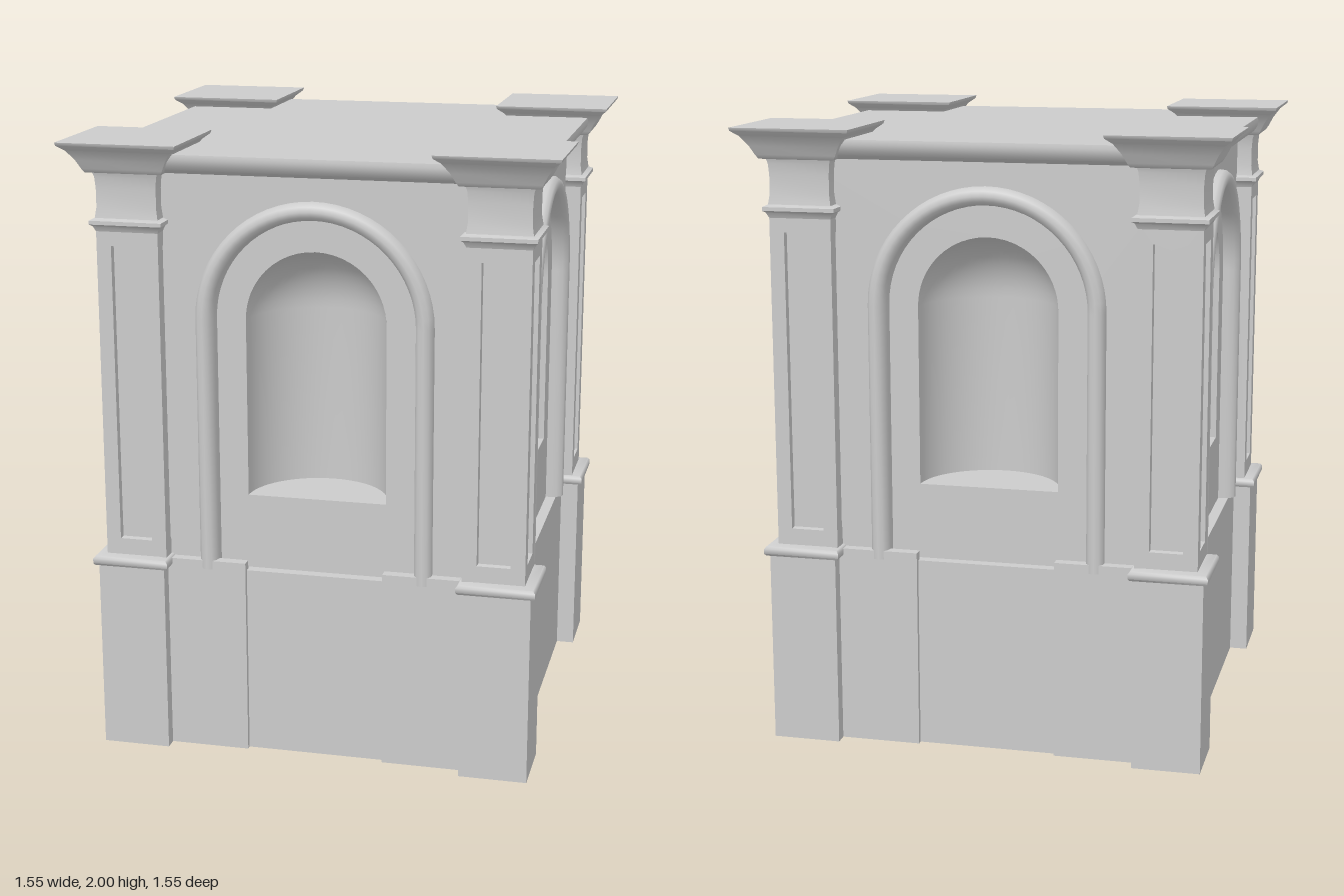
import * as THREE from 'three';
import { toCreasedNormals } from 'three/addons/utils/BufferGeometryUtils.js';

const grey = new THREE.MeshStandardMaterial({ color: 0xcccccc });
const greyThin = new THREE.MeshStandardMaterial({ color: 0xcccccc, side: THREE.DoubleSide });

const SPRING = 1.445;  // height where the arches start to curve
const LEDGE = 0.62;    // top of the base walls
const NICHE = { r: 0.225, sill: 0.865, spring: 1.44, z: 0.61 };

function part(name, geometry, material = grey) {
  const mesh = new THREE.Mesh(geometry, material);
  mesh.name = name;
  return mesh;
}

// Square turned solid: profile of [half width, y], bottom to top
function squareLathe(profile) {
  const pts = profile.map(([w, y]) => new THREE.Vector2(w * Math.SQRT2, y));
  return toCreasedNormals(new THREE.LatheGeometry(pts, 4).rotateY(Math.PI / 4), 0.9);
}

// Skin between cross-sections that all have the same number of points
function loft(rings, flat = false) {
  const n = rings[0].length, index = [];
  for (let i = 0; i < rings.length - 1; i++)
    for (let j = 0; j < n - 1; j++) {
      const a = i * n + j, b = a + n;
      index.push(a, b, a + 1, b, b + 1, a + 1);
    }
  let g = new THREE.BufferGeometry();
  g.setAttribute('position', new THREE.Float32BufferAttribute(rings.flat(2), 3));
  g.setIndex(index);
  if (flat) g = g.toNonIndexed();
  g.computeVertexNormals();
  return g;
}

// Round-headed outline, from the left foot over the top to the right foot
function archPoints(r, foot, spring = SPRING) {
  const pts = [new THREE.Vector2(-r, foot)];
  for (let i = 0; i <= 32; i++) {
    const t = Math.PI * (1 - i / 32);
    pts.push(new THREE.Vector2(r * Math.cos(t), spring + r * Math.sin(t)));
  }
  pts.push(new THREE.Vector2(r, foot));
  return pts;
}

// Sunken panel on one face of a pillar shaft, corners listed clockwise
function shaftFace() {
  const rings = [
    [0.1, 0.65, 1.735, 0.1], [0.053, 0.71, 1.67, 0.1],
    [0.051, 0.712, 1.668, 0.08], [0, 0.73, 1.65, 0.08],
  ].map(([w, y0, y1, z]) => [[-w, y0, z], [-w, y1, z], [w, y1, z], [w, y0, z], [-w, y0, z]]);
  return loft(rings, true);
}

function createPillar() {
  const pillar = new THREE.Group();
  pillar.name = 'cornerPillar';

  // Plinth and its moulding stand slightly further out than the shaft
  const foot = new THREE.Group();
  foot.name = 'pillarFoot';
  foot.position.set(0.012, 0, 0.012);
  foot.add(part('plinth', squareLathe([[0, 0], [0.11, 0], [0.11, 0.63], [0, 0.63]])));
  foot.add(part('footMoulding', squareLathe([
    [0.108, 0.622], [0.12, 0.623], [0.125, 0.63], [0.125, 0.646], [0.118, 0.654], [0.08, 0.657],
  ])));
  pillar.add(foot);

  for (let i = 0; i < 4; i++) {
    const face = part('shaftPanel', shaftFace());
    face.rotation.y = i * Math.PI / 2;
    pillar.add(face);
  }
  pillar.add(part('capital', squareLathe([
    [0.1, 1.715], [0.108, 1.732], [0.117, 1.738], [0.117, 1.75], [0.102, 1.757],
    [0.097, 1.79], [0.097, 1.85], [0.1, 1.885], [0.104, 1.898], [0.122, 1.901],
    [0.13, 1.914], [0.144, 1.942], [0.166, 1.973], [0.188, 1.99], [0.191, 2], [0, 2],
  ])));
  return pillar;
}

function createSide(hasFlanks) {
  const side = new THREE.Group();
  side.name = 'side';

  // Base wall with its top ledge, and two shallow flanks on the front and back
  const baseWall = [[0, 0.645], [LEDGE, 0.645], [LEDGE, 0.61]]
    .map(([y, z]) => [[0.62, y, z], [-0.62, y, z]]);
  side.add(part('baseWall', loft(baseWall, true), greyThin));
  if (hasFlanks)
    for (const s of [-1, 1])
      side.add(part('baseFlank',
        new THREE.BoxGeometry(0.27, 0.648, 0.034).translate(s * 0.36, 0.324, 0.645)));

  // Upper wall around the arch
  const wall = new THREE.Shape([
    new THREE.Vector2(-0.63, LEDGE), ...archPoints(0.38, LEDGE),
    new THREE.Vector2(0.63, LEDGE), new THREE.Vector2(0.63, 1.91), new THREE.Vector2(-0.63, 1.91),
  ]);
  side.add(part('wall', new THREE.ShapeGeometry(wall).translate(0, 0, 0.63), greyThin));

  // Rounded arch moulding, as [radius, z]
  const moulding = [
    [0.38, 0.63], [0.378, 0.648], [0.368, 0.662], [0.352, 0.668], [0.336, 0.663],
    [0.325, 0.648], [0.321, 0.63], [0.319, 0.61],
  ].map(([r, z]) => archPoints(r, LEDGE).map(p => [p.x, p.y, z]));
  side.add(part('archMoulding', loft(moulding), greyThin));

  // Flat surround with the niche opening
  const surround = new THREE.Shape(archPoints(0.32, LEDGE));
  surround.holes.push(new THREE.Path(archPoints(NICHE.r, NICHE.sill, NICHE.spring)));
  side.add(part('nicheSurround', new THREE.ShapeGeometry(surround).translate(0, 0, NICHE.z), greyThin));

  // Half-round niche with a domed head
  const profile = [new THREE.Vector2(0, NICHE.sill), new THREE.Vector2(NICHE.r, NICHE.sill)];
  for (let i = 0; i <= 12; i++) {
    const t = i / 12 * Math.PI / 2;
    profile.push(new THREE.Vector2(NICHE.r * Math.cos(t), NICHE.spring + NICHE.r * Math.sin(t)));
  }
  const niche = new THREE.LatheGeometry(profile, 24, Math.PI / 2, Math.PI).translate(0, 0, NICHE.z);
  side.add(part('niche', toCreasedNormals(niche, 0.9), greyThin));
  return side;
}

export function createModel() {
  const model = new THREE.Group();
  model.name = 'squareShrine';

  for (let i = 0; i < 4; i++) {
    const side = createSide(i % 2 === 0);
    side.rotation.y = i * Math.PI / 2;
    model.add(side);

    const corner = new THREE.Group();
    corner.name = 'corner';
    const pillar = createPillar();
    pillar.position.set(0.583, 0, 0.583);
    corner.add(pillar);
    corner.rotation.y = i * Math.PI / 2;
    model.add(corner);
  }

  // Rounded cornice carrying the flat roof
  model.add(part('corniceAndRoof', squareLathe([
    [0.63, 1.898], [0.665, 1.902], [0.69, 1.915], [0.703, 1.933], [0.708, 1.95], [0.706, 1.965], [0, 1.965],
  ])));
  return model;
}
